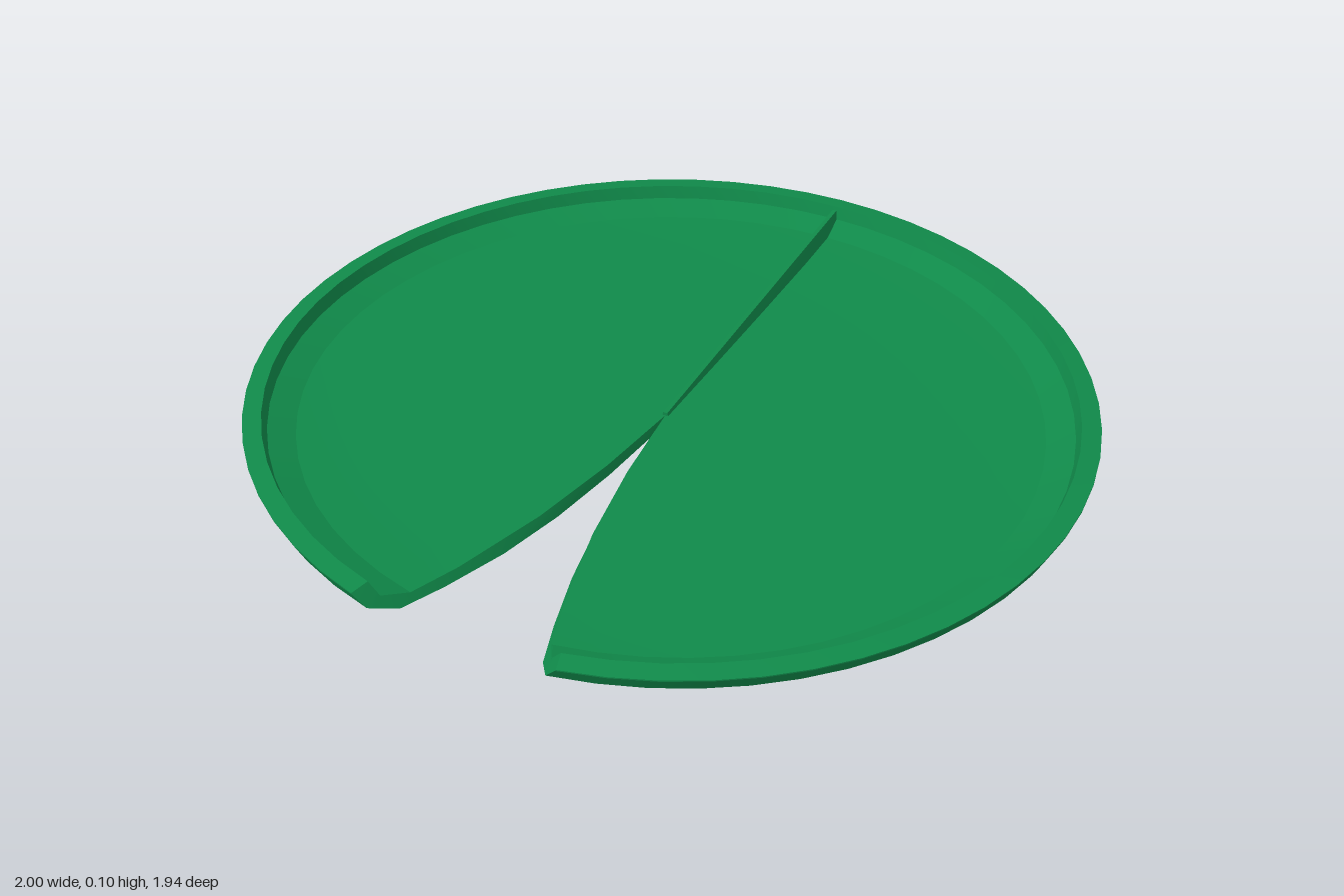
import * as THREE from 'three';
import { toCreasedNormals } from 'three/addons/utils/BufferGeometryUtils.js';

const green = new THREE.MeshStandardMaterial({ color: 0x108a4a });

// Paired cross-section stations: [top radius, top height, bottom radius, bottom height]
const STATIONS = [
  [0, 0.042, 0, 0.016],
  [0.25, 0.043, 0.25, 0.017],
  [0.5, 0.045, 0.45, 0.018],
  [0.75, 0.048, 0.63, 0.021],
  [0.88, 0.053, 0.8, 0.029],
  [0.945, 0.074, 0.92, 0.037],
  [0.955, 0.106, 0.985, 0.066],
  [1, 0.101, 1, 0.098],
];
const SEGMENTS = 56;
const APEX_Z = 0.05;

// Point on the leaf: u runs 0..1 around the rim from one notch edge to the other
function leafPoint(u, r, y) {
  const tipX = 0.2 + ((y - 0.04) / 0.07) * 0.05;
  const start = Math.asin(tipX);
  const a = start + u * (2 * Math.PI - 2 * start);
  const c = Math.cos(a);
  const rimX = Math.sin(a);
  const rimZ = 0.03 + c * (c > 0 ? 0.965 : 1);
  // The notch edges bow gently into the gap
  const side = u < 0.5 ? 1 : -1;
  const nearNotch = Math.pow(Math.abs(u - 0.5) * 2, 12);
  const bow = side * 0.035 * Math.sin(Math.PI * r) * nearNotch;
  return [rimX * r - bow, y, APEX_Z + (rimZ - APEX_Z) * r];
}

function leafGeometry() {
  const n = STATIONS.length;
  const loop = [
    ...STATIONS.map((s) => [s[0], s[1]]),
    ...STATIONS.map((s) => [s[2], s[3]]).reverse(),
  ];
  const m = loop.length;
  const positions = [];
  const index = [];
  const quad = (a, b, c, d) => index.push(a, b, c, a, c, d);

  for (let j = 0; j <= SEGMENTS; j++) {
    for (const [r, y] of loop) positions.push(...leafPoint(j / SEGMENTS, r, y));
  }
  // Upper face, rim and underside
  for (let j = 0; j < SEGMENTS; j++) {
    for (let i = 0; i < m - 1; i++) {
      const a = j * m + i;
      quad(a, a + 1, a + m + 1, a + m);
    }
  }
  // Walls along the two notch edges
  const last = SEGMENTS * m;
  for (let i = 0; i < n - 1; i++) {
    const low = m - 1 - i;
    quad(low, low - 1, i + 1, i);
    quad(last + i, last + i + 1, last + low - 1, last + low);
  }
  const geometry = new THREE.BufferGeometry();
  geometry.setAttribute('position', new THREE.Float32BufferAttribute(positions, 3));
  geometry.setIndex(index);
  return toCreasedNormals(geometry, 0.25);
}

// Narrow ridge rising from the notch to the back rim
function veinGeometry() {
  const geometry = new THREE.BoxGeometry(0.036, 1, 0.98);
  const p = geometry.attributes.position;
  for (let i = 0; i < p.count; i++) {
    const back = p.getZ(i) < 0;
    const top = p.getY(i) > 0;
    if (top) p.setX(i, p.getX(i) * 0.3);
    p.setY(i, top ? (back ? 0.096 : 0.05) : (back ? 0.042 : 0.002));
    p.setZ(i, back ? -0.93 : APEX_Z);
  }
  const flat = geometry.toNonIndexed();
  flat.computeVertexNormals();
  return flat;
}

export function createModel() {
  const model = new THREE.Group();
  model.name = 'lilyPad';

  const leaf = new THREE.Mesh(leafGeometry(), green);
  leaf.name = 'leaf';
  model.add(leaf);

  const vein = new THREE.Mesh(veinGeometry(), green);
  vein.name = 'centralVein';
  model.add(vein);

  return model;
}
